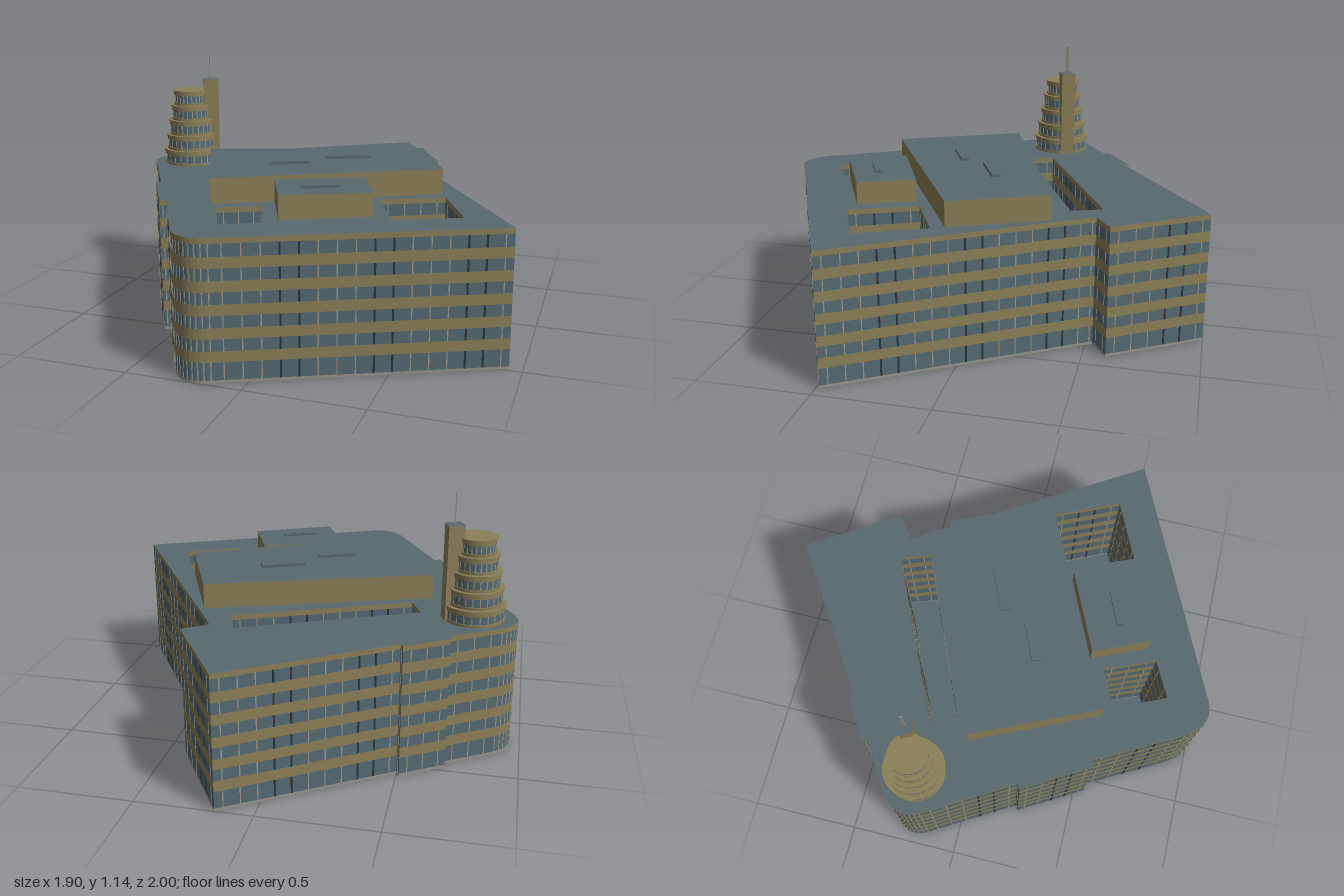
import * as THREE from 'three';
import { mergeGeometries } from 'three/addons/utils/BufferGeometryUtils.js';

const mat = (name, color, side = THREE.FrontSide) => {
  const m = new THREE.MeshStandardMaterial({ color, side });
  m.name = name;
  return m;
};

// samples a rounded corner between two tangent points [x, z]
function corner(a, c, b, n = 10) {
  const v = (p) => new THREE.Vector2(p[0], p[1]);
  return new THREE.QuadraticBezierCurve(v(a), v(c), v(b)).getPoints(n).map((p) => [p.x, p.y]);
}

// vertical wall along a closed plan loop; faces outward for clockwise plans
function wall(loop, y0, y1) {
  const pos = [];
  loop.forEach(([ax, az], i) => {
    const [bx, bz] = loop[(i + 1) % loop.length];
    pos.push(bx, y0, bz, ax, y0, az, ax, y1, az, bx, y0, bz, ax, y1, az, bx, y1, bz);
  });
  const g = new THREE.BufferGeometry();
  g.setAttribute('position', new THREE.Float32BufferAttribute(pos, 3));
  g.computeVertexNormals();
  return g;
}

// flat plan at a height, with optional openings
function plan(loop, holes, y) {
  const pts = (l) => l.map(([x, z]) => new THREE.Vector2(x, -z));
  const s = new THREE.Shape(pts(loop));
  s.holes = holes.map((h) => new THREE.Path(pts(h)));
  return new THREE.ShapeGeometry(s).rotateX(-Math.PI / 2).translate(0, y, 0);
}

export function createModel() {
  const group = new THREE.Group();
  const stone = mat('tan stone', 0x8c8059);
  const glass = mat('blue grey glass', 0x566a73);
  const roofMat = mat('slate roof', 0x58696f, THREE.DoubleSide);
  const base = mat('grey base', 0x98958c, THREE.DoubleSide);
  const pale = mat('pale frame', 0x9a9a8a);
  const dark = mat('dark post', 0x2b3539);
  const add = (name, geo, material, parent = group) => {
    const m = new THREE.Mesh(geo, material);
    m.name = name;
    parent.add(m);
    return m;
  };

  // building plan, clockwise from the rear corner
  const outline = [
    [0.16, -1], [0.415, -0.6], [0.31, -0.53], [0.325, -0.5], [0.945, 0.485],
    ...corner([-0.12, 0.975], [-0.25, 1.05], [-0.33, 0.9]),
    [-0.53, 0.54], [-0.557, 0.55], [-0.73, 0.255], [-0.71, 0.24],
    ...corner([-0.93, -0.13], [-0.997, -0.243], [-0.88, -0.32]),
    [-0.685, -0.445], [-0.692, -0.47], [-0.512, -0.585], [-0.5, -0.565],
  ];
  const courts = [
    [[-0.54, -0.2], [0.2, -0.545], [0.25, -0.41], [-0.49, -0.085]],
    [[0.335, 0.24], [0.595, 0.115], [0.73, 0.405], [0.46, 0.53]],
    [[-0.28, 0.58], [-0.11, 0.5], [-0.015, 0.725], [-0.175, 0.805]],
  ];
  const loops = [outline, ...courts.map((c) => [...c].reverse())];
  const top = 0.59, pitch = 0.0955, floors = 6;
  const band = (y0, y1) => loops.map((l) => wall(l, y0, y1));

  // storeys: a window strip below a stone band
  const glassGeo = [], stoneGeo = [], windows = [];
  for (let i = 0; i < floors; i++) {
    const y0 = i ? i * pitch + 0.037 : 0.012;
    const y1 = i === floors - 1 ? 0.567 : (i + 1) * pitch - 0.009;
    const next = i === floors - 1 ? top : (i + 1) * pitch + 0.037;
    windows.push([y0, y1]);
    glassGeo.push(...band(y0, y1));
    stoneGeo.push(...band(y1, next));
  }
  add('windowStrips', mergeGeometries(glassGeo), glass);
  add('stoneBands', mergeGeometries(stoneGeo), stone);
  add('plinth', mergeGeometries(band(0, 0.012)), base);
  add('underside', plan(outline, courts, 0), base);
  add('roof', plan(outline, courts, top), roofMat);
  add('courtFloors', mergeGeometries(courts.map((c) => plan(c, [], 0.001))), roofMat);

  // slim frames and paired dark posts along every window strip
  const frames = [], posts = [];
  for (const loop of loops) {
    loop.forEach(([ax, az], e) => {
      const [bx, bz] = loop[(e + 1) % loop.length];
      const len = Math.hypot(bx - ax, bz - az);
      const n = Math.max(1, Math.round(len / 0.075));
      for (let k = 0; k < n; k++) {
        const t = (k + 0.5) / n;
        const isDark = len > 0.3 && (k % 5 === 1 || k % 5 === 2);
        for (const [y0, y1] of windows) {
          const g = new THREE.BoxGeometry(isDark ? 0.008 : 0.005, y1 - y0, 0.004);
          g.rotateY(-Math.atan2(bz - az, bx - ax));
          g.translate(ax + (bx - ax) * t, (y0 + y1) / 2, az + (bz - az) * t);
          (isDark ? posts : frames).push(g);
        }
      }
    });
  }
  add('windowFrames', mergeGeometries(frames), pale);
  add('windowPosts', mergeGeometries(posts), dark);

  // rooftop blocks: walls plus lid
  const block = (name, loop, y0, y1, wallMat) => {
    const g = new THREE.Group();
    g.name = name;
    add('walls', wall(loop, y0, y1), wallMat, g);
    add('lid', plan(loop, [], y1), roofMat, g);
    group.add(g);
  };
  block('mainPenthouse', [[-0.575, -0.015], [0.39, -0.352], [0.57, 0.06], [-0.325, 0.535]], top, 0.702, stone);
  block('frontPenthouse', [[-0.075, 0.43], [0.28, 0.27], [0.38, 0.51], [0.035, 0.675]], top, 0.692, stone);
  block('roofVentA', [[0.01, -0.01], [0.195, -0.09], [0.21, -0.055], [0.025, 0.03]], 0.7, 0.715, roofMat);
  block('roofVentB', [[-0.187, 0.18], [-0.025, 0.108], [-0.013, 0.142], [-0.175, 0.217]], 0.7, 0.715, roofMat);
  block('roofVentC', [[0.072, 0.512], [0.22, 0.45], [0.23, 0.478], [0.08, 0.545]], 0.69, 0.704, roofMat);
  block('towerShaft', [[-0.715, -0.25], [-0.65, -0.288], [-0.628, -0.225], [-0.69, -0.2]], top, 1.006, stone);

  // stepped round tower
  const tower = new THREE.Group();
  tower.name = 'roundTower';
  tower.position.set(-0.765, top, -0.205);
  group.add(tower);
  const step = 0.0725, towerFrames = [];
  for (let i = 0; i < 5; i++) {
    const r = 0.132 - i * 0.0132, y = i * step;
    const drum = (name, rad, y0, h, m) =>
      add(name, new THREE.CylinderGeometry(rad, rad, h, 40).translate(0, y + y0 + h / 2, 0), m, tower);
    drum('tierSill', r + 0.001, 0, 0.012, stone);
    drum('tierWindows', r - 0.003, 0.012, 0.036, glass);
    drum('tierBand', r + 0.001, 0.048, 0.019, stone);
    drum('tierLedge', r + 0.005, 0.066, step - 0.066, stone);
    for (let k = 0; k < 24; k++) {
      towerFrames.push(new THREE.BoxGeometry(0.005, 0.036, 0.004)
        .translate(0, y + 0.03, r - 0.003).rotateY((k / 24) * Math.PI * 2));
    }
  }
  add('towerFrames', mergeGeometries(towerFrames), pale, tower);

  // mast
  add('mast', new THREE.BoxGeometry(0.004, 0.14, 0.014).translate(-0.67, 1.075, -0.242), base);
  return group;
}
